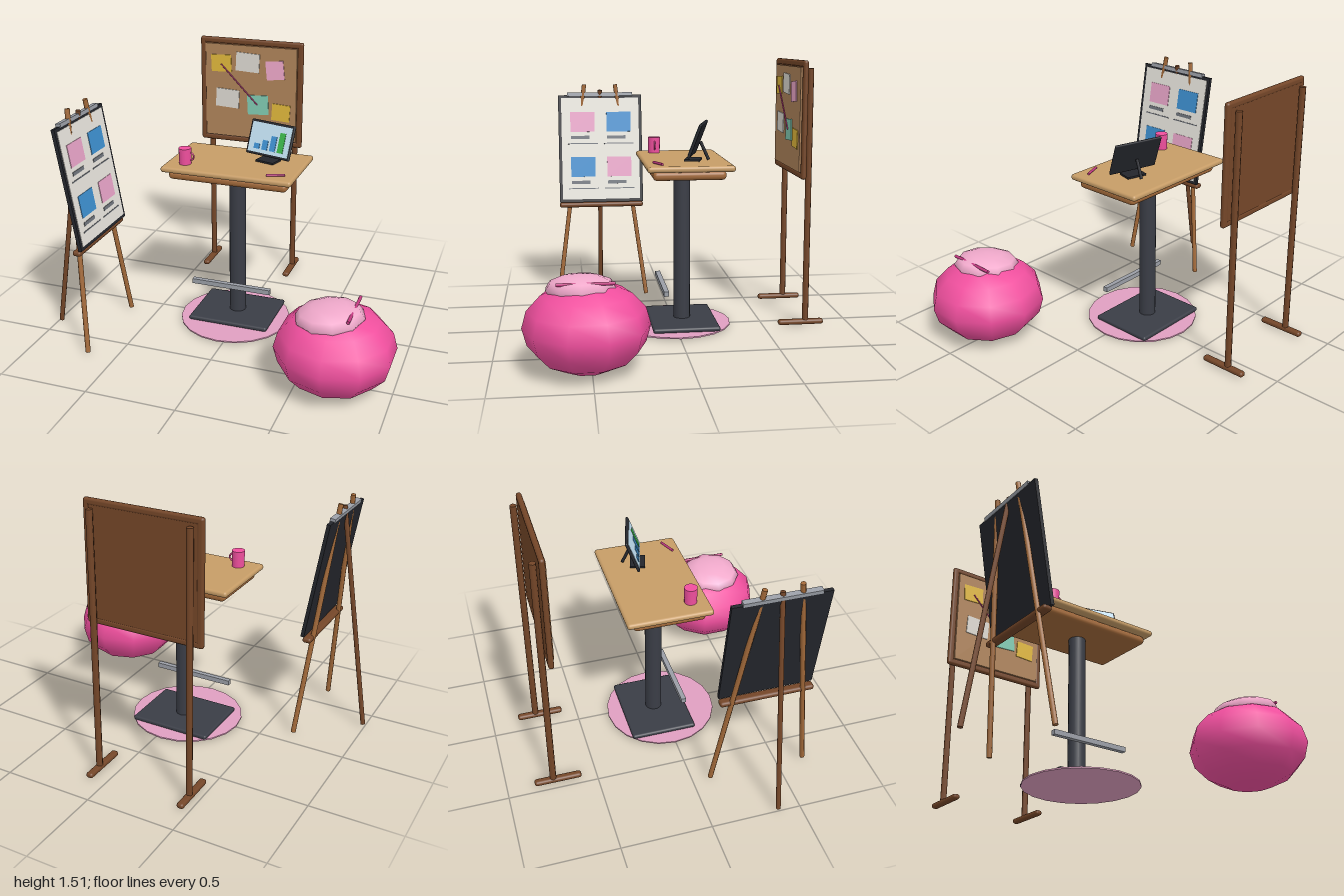
import * as THREE from 'three';
import { RoundedBoxGeometry } from 'three/addons/geometries/RoundedBoxGeometry.js';

const C = {
  brown: 0x744628, wood: 0xa36a3a, top: 0xc69c66, cork: 0xb0845a, dark: 0x3a3d46, black: 0x24262c,
  metal: 0x9a9ea6, pink: 0xf04f9e, palePink: 0xf0a9cb, rug: 0xdf9fc0, magenta: 0xc23a80,
  cream: 0xe9e6de, blue: 0x3e90d0, yellow: 0xe2b93c, teal: 0x82ccb4, white: 0xdedad2, grey: 0x6f747c,
};

function add(parent, name, geometry, color, x = 0, y = 0, z = 0) {
  const mesh = new THREE.Mesh(geometry, new THREE.MeshStandardMaterial({ color }));
  mesh.name = name;
  mesh.position.set(x, y, z);
  parent.add(mesh);
  return mesh;
}
const box = (p, name, color, w, h, d, x, y, z) =>
  add(p, name, new THREE.BoxGeometry(w, h, d), color, x, y, z);
const bar = (p, name, color, w, h, d, x, y, z) =>
  add(p, name, new RoundedBoxGeometry(w, h, d, 2, Math.min(w, h, d) * 0.45), color, x, y, z);

// Round rod between two points
function rod(p, name, color, a, b, r, sides = 8) {
  const from = new THREE.Vector3(...a), to = new THREE.Vector3(...b);
  const dir = to.clone().sub(from);
  const mesh = add(p, name, new THREE.CylinderGeometry(r, r, dir.length(), sides), color);
  mesh.position.copy(from).add(to).multiplyScalar(0.5);
  mesh.quaternion.setFromUnitVectors(new THREE.Vector3(0, 1, 0), dir.normalize());
  return mesh;
}

function group(parent, name) {
  const g = new THREE.Group();
  g.name = name;
  parent.add(g);
  return g;
}

function buildPinboard(root) {
  const g = group(root, 'pinboard');
  const cx = -0.177, cy = 1.185;
  box(g, 'backPanel', C.brown, 0.62, 0.62, 0.022, cx, cy, -0.706);
  for (const s of [-1, 1]) {
    bar(g, 'frameRail', C.brown, 0.657, 0.037, 0.03, cx, cy + s * 0.31, -0.705);
    bar(g, 'frameStile', C.brown, 0.037, 0.657, 0.03, cx + s * 0.31, cy, -0.705);
    rod(g, 'post', C.brown, [cx + s * 0.273, 0.02, -0.744], [cx + s * 0.273, 1.47, -0.744], 0.018);
    bar(g, 'foot', C.brown, 0.04, 0.03, 0.263, cx + s * 0.273, 0.025, -0.717);
  }
  box(g, 'corkSheet', C.cork, 0.585, 0.582, 0.015, cx, cy, -0.691);
  const notes = [
    [C.yellow, -0.366, 1.358, 0.13, 0.105, 0.04], [C.white, -0.195, 1.374, 0.15, 0.115, -0.05],
    [C.palePink, -0.02, 1.337, 0.113, 0.115, 0.1], [C.white, -0.326, 1.139, 0.15, 0.115, -0.05],
    [C.teal, -0.128, 1.112, 0.135, 0.122, 0.05], [C.yellow, 0.02, 1.075, 0.115, 0.105, -0.06],
  ];
  for (const [color, x, y, w, h, turn] of notes)
    box(g, 'note', color, w, h, 0.005, x, y, -0.681).rotation.z = turn;
  rod(g, 'string', C.magenta, [-0.366, 1.353, -0.676], [-0.13, 1.112, -0.676], 0.004, 6);
}

function buildDesk(root) {
  const g = group(root, 'desk');
  bar(g, 'deskTop', C.top, 0.75, 0.033, 0.47, -0.035, 0.952, -0.051);
  bar(g, 'deskApron', C.wood, 0.684, 0.048, 0.395, -0.035, 0.912, -0.046);
  add(g, 'pedestal', new THREE.CylinderGeometry(0.048, 0.048, 0.86, 14), C.dark, -0.035, 0.46, -0.045);
  bar(g, 'basePlate', C.dark, 0.475, 0.026, 0.377, -0.037, 0.03, -0.046);
  box(g, 'footrest', C.metal, 0.47, 0.028, 0.028, -0.035, 0.243, 0.07);
  add(g, 'rug', new THREE.CylinderGeometry(0.32, 0.32, 0.008, 20), C.rug, -0.035, 0.014, -0.004);

  // Mug with its handle on the left
  const mug = group(g, 'mug');
  mug.position.set(-0.298, 1.014, 0.086);
  add(mug, 'mugBody', new THREE.CylinderGeometry(0.036, 0.034, 0.092, 14), C.pink);
  add(mug, 'mugHandle', new THREE.TorusGeometry(0.022, 0.005, 6, 12, Math.PI), C.pink, 0.03).rotation.z = -Math.PI / 2;
  rod(g, 'pen', C.magenta, [0.19, 0.976, 0.137], [0.285, 0.976, 0.1], 0.007);
}

function buildMonitor(root) {
  const g = group(root, 'monitor');
  g.position.set(0.135, 0.968, -0.1);
  g.rotation.y = -0.27;
  box(g, 'standFoot', C.black, 0.115, 0.01, 0.085, 0, 0.012, 0.015);
  rod(g, 'standLeg', C.black, [0, 0.11, -0.025], [0, 0.012, -0.07], 0.009);
  const s = group(g, 'screenPanel');
  s.position.set(0, 0.126, -0.01);
  s.rotation.x = -0.36;
  bar(s, 'screenCase', C.black, 0.285, 0.195, 0.016, 0, 0, 0);
  box(s, 'screen', 0xc2e0f2, 0.26, 0.168, 0.004, 0, 0, 0.008);
  [0.03, 0.055, 0.085, 0.112].forEach((h, i) =>
    box(s, 'chartBar', i === 3 ? 0x3bb54a : C.blue, 0.036, h, 0.004, -0.075 + i * 0.051, -0.064 + h / 2, 0.011));
}

function buildEasel(root) {
  const g = group(root, 'easel');
  const cz = 0.38;
  for (const s of [-1, 1])
    rod(g, 'frontLeg', C.wood, [-0.792, 1.345, cz + s * 0.097], [-0.665, 0.012, cz + s * 0.277], 0.014);
  rod(g, 'backLeg', C.brown, [-0.782, 1.31, cz], [-0.985, 0.012, cz], 0.014);
  bar(g, 'tray', C.brown, 0.05, 0.03, 0.525, -0.705, 0.593, cz);

  // Tilted board, built facing forward then turned to the model's left
  const b = group(g, 'posterBoard');
  b.position.set(-0.735, 0.945, cz);
  b.rotation.set(-0.165, Math.PI / 2, 0, 'YXZ');
  box(b, 'boardFrame', C.black, 0.523, 0.675, 0.02, 0, 0, 0);
  box(b, 'paper', C.cream, 0.486, 0.637, 0.006, 0, 0, 0.01);
  box(b, 'clip', C.metal, 0.41, 0.022, 0.03, 0, 0.342, 0.002);
  for (const row of [0, 1]) for (const col of [0, 1]) {
    const x = -0.112 + col * 0.227, y = 0.168 - row * 0.283;
    box(b, 'picture', row === col ? 0xe9a5c9 : C.blue, 0.152, 0.124, 0.004, x, y, 0.014);
    box(b, 'caption', C.grey, 0.116, 0.02, 0.004, x - 0.016, y - 0.097, 0.014);
    box(b, 'rule', C.grey, 0.188, 0.006, 0.004, x, y - 0.136, 0.014);
  }
}

function buildBeanbag(root) {
  const g = group(root, 'beanbag');
  const body = add(g, 'bagBody', new THREE.SphereGeometry(0.319, 10, 8), C.pink, 0.693, 0.235, 0.523);
  body.scale.y = 0.72;
  body.rotation.y = Math.PI / 2;
  const cushion = add(g, 'bagCushion', new THREE.SphereGeometry(0.182, 10, 6), C.palePink, 0.666, 0.422, 0.548);
  cushion.scale.y = 0.4;
  cushion.rotation.z = 0.1;
  rod(g, 'bagStrap', C.magenta, [0.785, 0.472, 0.385], [0.785, 0.472, 0.67], 0.009);
}

export function createModel() {
  const root = new THREE.Group();
  root.name = 'studioCorner';
  buildPinboard(root);
  buildDesk(root);
  buildMonitor(root);
  buildEasel(root);
  buildBeanbag(root);
  return root;
}
